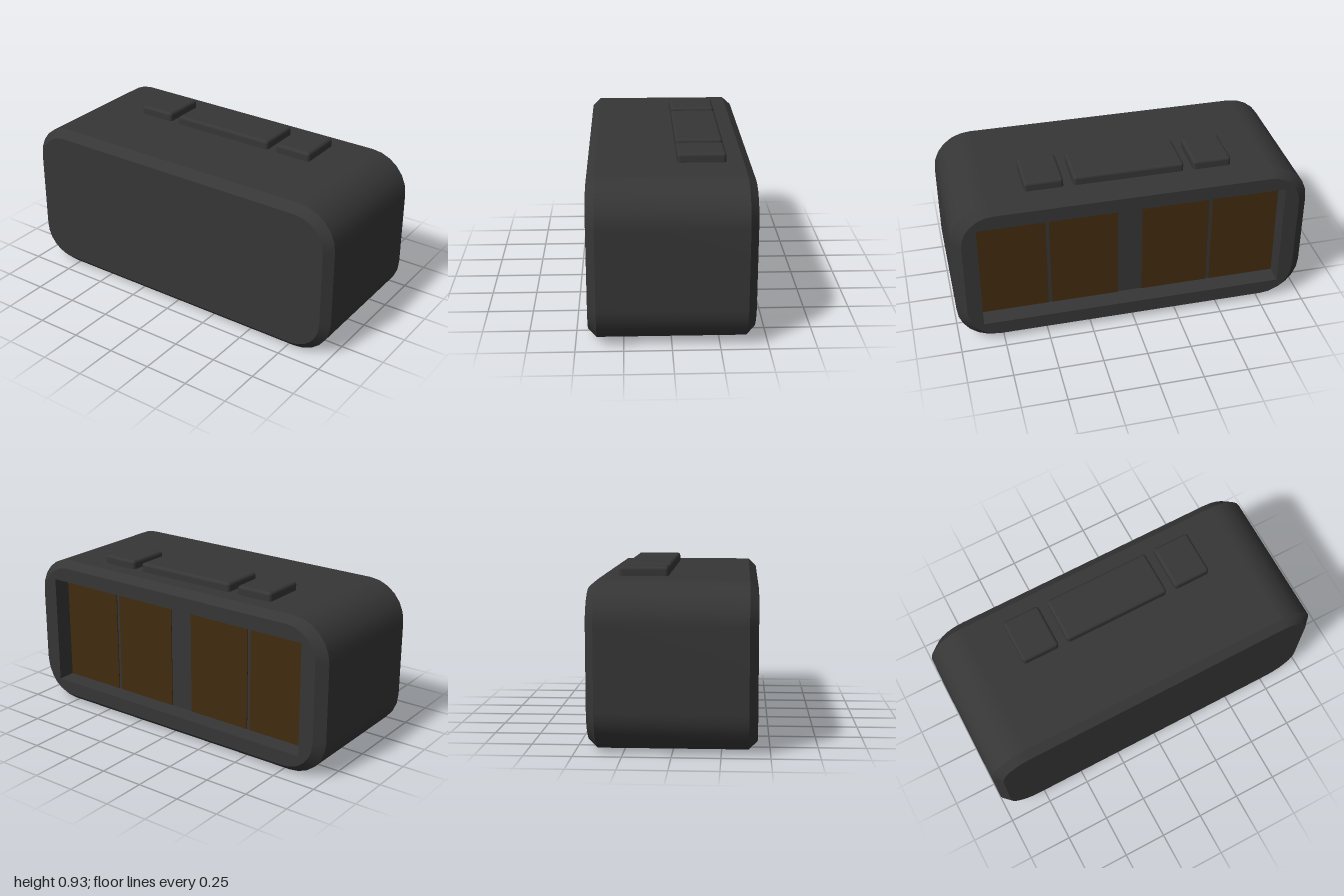
import * as THREE from 'three';
import { RoundedBoxGeometry } from 'three/addons/geometries/RoundedBoxGeometry.js';

const CENTRE_Y = 0.4375;

// Rounded rectangle outline, counter-clockwise seen from +z
function outline(w, h, r, steps = 6) {
  const pts = [];
  [[1, 1], [-1, 1], [-1, -1], [1, -1]].forEach(([sx, sy], q) => {
    for (let i = 0; i <= steps; i++) {
      const a = (q + i / steps) * Math.PI / 2;
      pts.push(new THREE.Vector2(sx * (w - r) + r * Math.cos(a), sy * (h - r) + r * Math.sin(a)));
    }
  });
  return pts;
}

// Closed strip of quads between two outlines of equal length
function band(front, zFront, back, zBack) {
  const n = front.length, pos = [], index = [];
  front.forEach(p => pos.push(p.x, p.y, zFront));
  back.forEach(p => pos.push(p.x, p.y, zBack));
  for (let i = 0; i < n; i++) {
    const j = (i + 1) % n;
    index.push(i, n + i, j, j, n + i, n + j);
  }
  const g = new THREE.BufferGeometry();
  g.setAttribute('position', new THREE.Float32BufferAttribute(pos, 3));
  g.setIndex(index);
  g.computeVertexNormals();
  return g;
}

export function createModel() {
  const model = new THREE.Group();
  model.name = 'alarmClock';
  const casing = new THREE.MeshStandardMaterial({ color: 0x363636 });
  casing.name = 'charcoalPlastic';
  const amber = new THREE.MeshStandardMaterial({ color: 0x412b0f });
  amber.name = 'darkAmber';

  const add = (name, geometry, material, x = 0, y = CENTRE_Y, z = 0) => {
    const mesh = new THREE.Mesh(geometry, material);
    mesh.name = name;
    mesh.position.set(x, y, z);
    model.add(mesh);
    return mesh;
  };

  // Casing: rounded sleeve with a chamfer at each end
  const zEnd = 0.435, zSide = 0.39;
  const frontLoop = outline(0.955, 0.3925, 0.175);
  const sideLoop = outline(1, 0.4375, 0.22);
  const backLoop = outline(0.945, 0.4, 0.18);
  add('frontChamfer', band(frontLoop, zEnd, sideLoop, zSide), casing);
  add('sleeve', band(sideLoop, zSide, sideLoop, -zSide), casing);
  add('backChamfer', band(sideLoop, -zSide, backLoop, -zEnd), casing);
  add('frontFace', new THREE.ShapeGeometry(new THREE.Shape(frontLoop)), casing, 0, CENTRE_Y, zEnd);

  // Rim around the recessed display
  const rw = 0.86, rh = 0.318, zFloor = -0.325;
  const opening = [[rw, -rh], [rw, rh], [-rw, rh], [-rw, -rh]].map(p => new THREE.Vector2(...p));
  const rim = new THREE.Shape(backLoop);
  rim.holes.push(new THREE.Path(opening));
  add('displayRim', new THREE.ShapeGeometry(rim), casing, 0, CENTRE_Y, -zEnd).rotation.y = Math.PI;

  // Inward-facing recess walls and floor
  const walls = band(opening, -zEnd, opening, zFloor).toNonIndexed();
  walls.computeVertexNormals();
  add('recessWalls', walls, casing);
  add('recessFloor', new THREE.PlaneGeometry(rw * 2, rh * 2), casing, 0, CENTRE_Y, zFloor).rotation.y = Math.PI;

  // Four digit panels, in two pairs
  for (const side of [1, -1]) {
    for (const x of [0.2625, 0.6675]) {
      add('digitPanel', new THREE.BoxGeometry(0.385, rh * 2, 0.006), amber, side * x, CENTRE_Y, zFloor - 0.002);
    }
  }

  // Buttons on top
  const button = (name, x, w) =>
    add(name, new RoundedBoxGeometry(w, 0.1, 0.26, 2, 0.018), casing, x, 0.875, -0.17);
  button('snoozeButton', 0, 0.615);
  button('leftButton', 0.468, 0.215);
  button('rightButton', -0.468, 0.215);

  return model;
}
